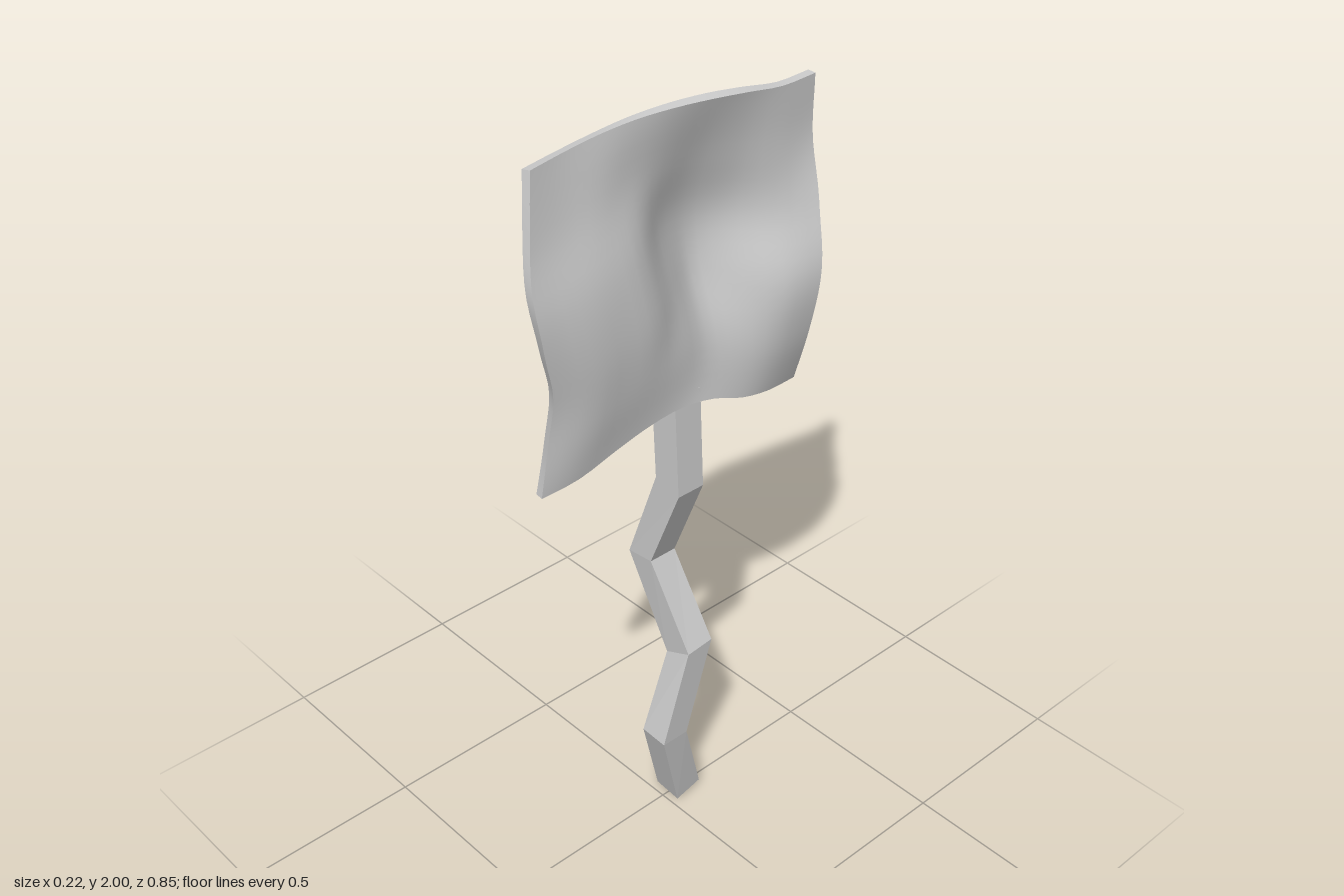
import * as THREE from 'three';

const material = new THREE.MeshStandardMaterial({ color: 0xcccccc });
const { CatmullRom } = THREE.Interpolations ?? {};

// Smooth interpolation through evenly spaced values, t in 0..1
function spline(a, t) {
  const n = a.length - 1;
  const f = Math.min(Math.max(t, 0), 1) * n;
  const i = Math.min(Math.floor(f), n - 1), s = f - i;
  const p1 = a[i], p2 = a[i + 1];
  const p0 = i > 0 ? a[i - 1] : 2 * p1 - p2;
  const p3 = i < n - 1 ? a[i + 2] : 2 * p2 - p1;
  const v0 = (p2 - p0) / 2, v1 = (p3 - p1) / 2;
  return (2 * p1 - 2 * p2 + v0 + v1) * s ** 3 + (3 * (p2 - p1) - 2 * v0 - v1) * s * s + v0 * s + p1;
}

// Warp of the sheet in x: rows run top to bottom, columns from +z to -z
const WARP = [
  [.015, 0, -.005, 0, .015, .028, .037, .043, .045],
  [.04, .03, .02, 0, -.015, -.02, 0, .03, .04],
  [.065, .07, .06, .035, -.03, -.055, -.03, .03, .07],
  [.055, .078, .073, .058, 0, -.04, 0, .07, .095],
  [.03, .06, .065, .06, .04, .015, .03, .06, .07],
  [.018, .03, .04, .045, .045, .045, .04, .03, .02],
];
// Wavy outline of the sheet
const TOP = [1.975, 1.978, 1.985, 1.993, 1.998, 1.995, 1.985, 1.972, 1.975];
const BOTTOM = [1.19, 1.205, 1.24, 1.265, 1.27, 1.25, 1.21, 1.187, 1.18];
const FRONT_Z = [.39, .372, .367, .4, .422, .405, .382];
const BACK_Z = [-.41, -.404, -.406, -.415, -.42, -.412, -.405];

function sheetPoint(u, v) {
  return new THREE.Vector3(
    spline(WARP.map((row) => spline(row, u)), 1 - v),
    THREE.MathUtils.lerp(spline(BOTTOM, u), spline(TOP, u), v),
    THREE.MathUtils.lerp(spline(FRONT_Z, v), spline(BACK_Z, v), u),
  );
}

// Point on one skin of the sheet, side is +1 or -1
function skinPoint(u, v, side) {
  const e = 0.01;
  const du = sheetPoint(Math.min(u + e, 1), v).sub(sheetPoint(Math.max(u - e, 0), v));
  const dv = sheetPoint(u, Math.min(v + e, 1)).sub(sheetPoint(u, Math.max(v - e, 0)));
  const normal = du.cross(dv).normalize();
  return sheetPoint(u, v).addScaledVector(normal, side * 0.011);
}

// Bend a flat grid by a rule taking its uv
function bentGrid(cols, rows, rule) {
  const g = new THREE.PlaneGeometry(1, 1, cols, rows);
  const { position, uv } = g.attributes;
  for (let i = 0; i < position.count; i++) {
    const p = rule(uv.getX(i), uv.getY(i));
    position.setXYZ(i, p.x, p.y, p.z);
  }
  g.computeVertexNormals();
  return g;
}

function add(parent, name, geometry) {
  const mesh = new THREE.Mesh(geometry, material);
  mesh.name = name;
  parent.add(mesh);
}

// Crooked square pole; each ring is [x, y, z, tilt along x, tilt along z]
function poleGeometry() {
  const h = 0.04;
  const rings = [
    [-.003, .013, -.06, -.1, -.25],
    [.03, .27, .02, -.05, 0],
    [.045, .53, -.05, .45, -.1],
    [-.07, .785, -.027, .1, 0],
    [.026, 1.04, -.03, -.25, 0],
    [.012, 1.3, -.03, 0, 0],
  ].map(([x, y, z, ax, az]) => [[-h, h], [h, h], [h, -h], [-h, -h]]
    .map(([dx, dz]) => [x + dx, y + ax * dx + az * dz, z + dz]));
  const pos = [];
  const quad = (a, b, c, d) => pos.push(...a, ...b, ...c, ...a, ...c, ...d);
  for (let r = 0; r < rings.length - 1; r++) {
    for (let k = 0; k < 4; k++) {
      const n = (k + 1) % 4;
      quad(rings[r][k], rings[r][n], rings[r + 1][n], rings[r + 1][k]);
    }
  }
  quad(...rings[0].slice().reverse());
  quad(...rings[rings.length - 1]);
  const g = new THREE.BufferGeometry();
  g.setAttribute('position', new THREE.Float32BufferAttribute(pos, 3));
  g.computeVertexNormals();
  return g;
}

export function createModel() {
  const model = new THREE.Group();
  model.name = 'crookedSign';
  add(model, 'pole', poleGeometry());

  // Warped board: two skins and a rim around the edge
  const board = new THREE.Group();
  board.name = 'warpedBoard';
  const N = 24;
  add(board, 'leftFace', bentGrid(N, N, (u, v) => skinPoint(u, v, 1)));
  add(board, 'rightFace', bentGrid(N, N, (u, v) => skinPoint(1 - u, v, -1)));
  const edges = {
    bottomEdge: (t) => [t, 0],
    backEdge: (t) => [1, t],
    topEdge: (t) => [1 - t, 1],
    frontEdge: (t) => [0, 1 - t],
  };
  for (const [name, at] of Object.entries(edges)) {
    add(board, name, bentGrid(N, 1, (t, s) => skinPoint(...at(t), s * 2 - 1)));
  }
  model.add(board);
  return model;
}
